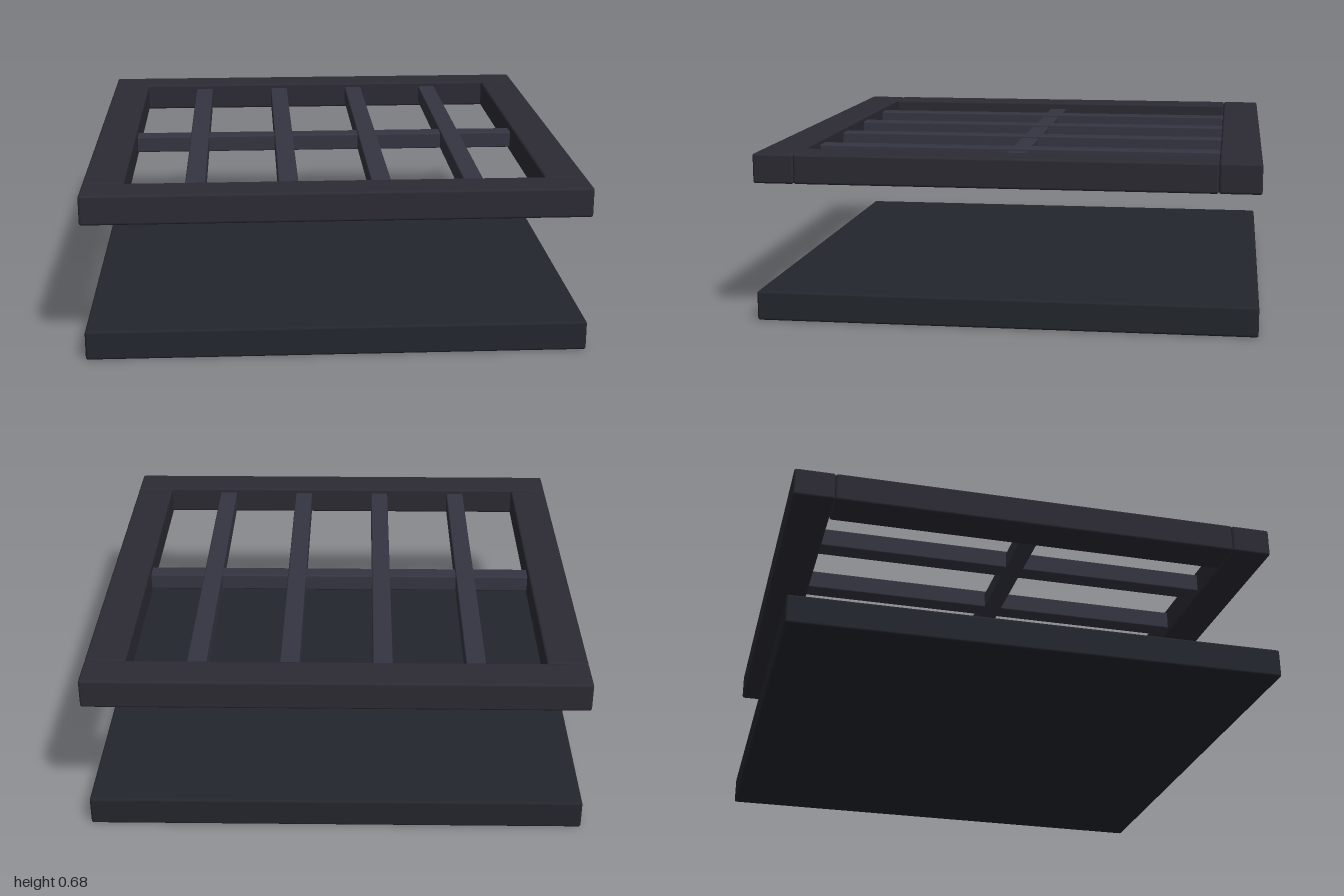
import * as THREE from 'three';
import { RoundedBoxGeometry } from 'three/addons/geometries/RoundedBoxGeometry.js';

const paint = (color) => new THREE.MeshStandardMaterial({ color });

export function createModel() {
  const model = new THREE.Group();
  const slabPaint = paint(0x23262d);
  const framePaint = paint(0x2c2a33);
  const barPaint = paint(0x343541);

  // Softly bevelled beam, placed by its centre
  const beam = (parent, name, size, position, material, bevel = 0.01) => {
    const mesh = new THREE.Mesh(new RoundedBoxGeometry(...size, 2, bevel), material);
    mesh.name = name;
    mesh.position.set(...position);
    parent.add(mesh);
  };

  // Solid base
  beam(model, 'baseSlab', [2, 0.12, 2], [0, 0.06, 0], slabPaint);

  // Raised frame: full-width rails front and back, stiles between them
  const frame = new THREE.Group();
  frame.name = 'upperFrame';
  frame.position.y = 0.62;
  model.add(frame);
  for (const s of [-1, 1]) {
    beam(frame, s > 0 ? 'frontRail' : 'backRail', [2, 0.12, 0.165], [0, 0, s * 0.9175], framePaint);
    beam(frame, s > 0 ? 'leftStile' : 'rightStile', [0.165, 0.12, 1.67], [s * 0.9175, 0, 0], framePaint);
  }

  // Grille bars running front to back, evenly spaced
  for (let i = 0; i < 4; i++) {
    beam(frame, 'grilleBar', [0.08, 0.08, 1.68], [(i - 1.5) * 0.372, 0, 0], barPaint, 0.006);
  }

  // Single cross bar through the middle, slightly below the tops of the grille bars
  beam(frame, 'crossBar', [1.68, 0.07, 0.076], [0, -0.005, 0], barPaint, 0.006);

  return model;
}
